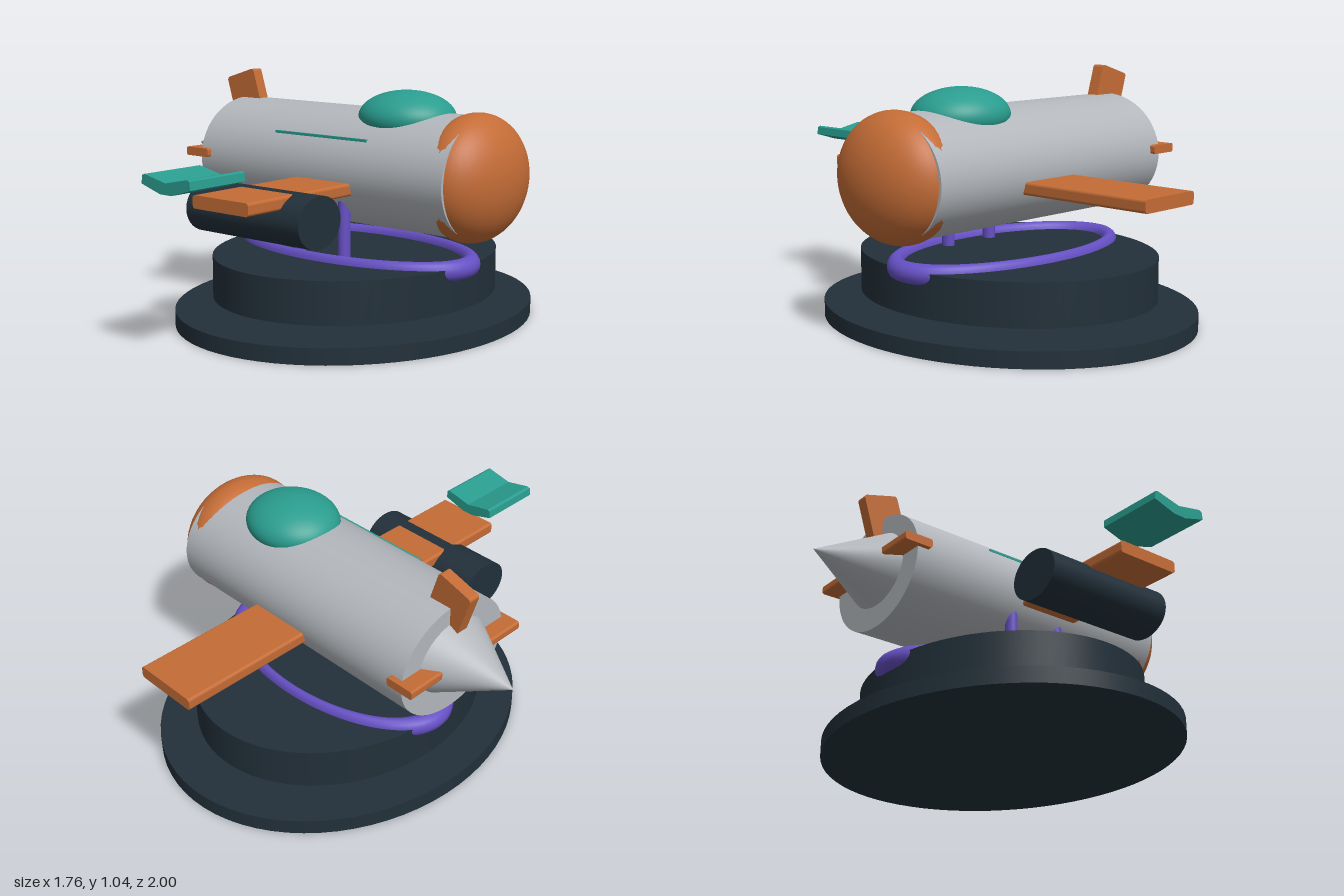
import * as THREE from 'three';

const CX = 0.085;   // centre of the stand in x
const CZ = -0.114;  // centre line of the craft in z
const STRETCH = 1.178; // everything round is wider in z

const mat = (name, color) => Object.assign(new THREE.MeshStandardMaterial({ color }), { name });

// Rounded rectangle centred on the origin
function roundedRect(w, h, r) {
  const s = new THREE.Shape(), x = w / 2 - r, y = h / 2 - r;
  s.absarc(x, y, r, 0, Math.PI / 2);
  s.absarc(-x, y, r, Math.PI / 2, Math.PI);
  s.absarc(-x, -y, r, Math.PI, Math.PI * 1.5);
  s.absarc(x, -y, r, Math.PI * 1.5, Math.PI * 2);
  s.closePath();
  return s;
}

// Extrusion along z, centred on z = 0
function slab(shape, depth) {
  return new THREE.ExtrudeGeometry(shape, { depth, bevelEnabled: false, curveSegments: 5 })
    .translate(0, 0, -depth / 2);
}

// Cylinder or cone along x; rNeg is the radius at the -x end
function barrel(rNeg, rPos, length) {
  return new THREE.CylinderGeometry(rNeg, rPos, length, 64)
    .rotateZ(Math.PI / 2).scale(1, 1, STRETCH);
}

const disc = (r, h) => new THREE.CylinderGeometry(r, r, h, 72).scale(1, 1, STRETCH);

export function createModel() {
  const dark = mat('darkSlate', 0x22303a);
  const grey = mat('silverGrey', 0xb3b7bc);
  const orange = mat('copperOrange', 0xc46c36);
  const teal = mat('teal', 0x2a9d8f);
  const purple = mat('purple', 0x6650c4);

  const model = new THREE.Group();
  model.name = 'craftOnStand';
  const add = (name, geometry, material, x, y, z) => {
    const mesh = new THREE.Mesh(geometry, material);
    mesh.name = name;
    mesh.position.set(x, y, z);
    model.add(mesh);
    return mesh;
  };

  // Stand
  add('basePlate', disc(0.721, 0.068), dark, CX, 0.034, CZ);
  add('drum', disc(0.573, 0.18), dark, CX, 0.2, CZ);
  add('standRing',
    new THREE.TorusGeometry(0.567, 0.043, 16, 80).rotateX(Math.PI / 2).scale(1, 1, 0.54),
    purple, CX, 0.279, CZ);

  // Landing struts and wheels
  for (const x of [-0.038, 0.208]) {
    add('strut', new THREE.CylinderGeometry(0.025, 0.025, 0.41, 20).scale(1, 1, STRETCH),
      purple, x, 0.355, 0.118);
    add('wheel', new THREE.TorusGeometry(0.05, 0.03, 14, 32).rotateY(Math.PI / 2).scale(1, 1, STRETCH),
      dark, x, 0.146, 0.118);
  }

  // Fuselage, nose and tail cone
  add('fuselage', barrel(0.25, 0.25, 1.31), grey, 0.085, 0.659, CZ);
  add('nose', new THREE.SphereGeometry(1, 48, 32).scale(0.18, 0.264, 0.289), orange, 0.699, 0.659, CZ);
  add('tailCone', barrel(0, 0.164, 0.315), grey, -0.7225, 0.67, CZ);

  // Canopy and side stripe
  add('canopy', new THREE.SphereGeometry(1, 48, 32).scale(0.212, 0.113, 0.193), teal, 0.355, 0.88, CZ);
  add('sideStripe', new THREE.BoxGeometry(0.498, 0.011, 0.009), teal, 0.084, 0.802, 0.129);

  // Wing and tail surfaces
  add('wing', slab(roundedRect(0.296, 0.053, 0.012), 1.772), orange, 0.136, 0.601, CZ);
  add('tailplane', slab(roundedRect(0.132, 0.038, 0.01), 0.631), orange, -0.578, 0.683, CZ);
  add('tailFin', slab(roundedRect(0.17, 0.3, 0.014), 0.053), orange, -0.542, 0.874, CZ)
    .rotation.z = 0.3;

  // Engine pod under the wing
  add('enginePod', barrel(0.106, 0.106, 0.61), dark, 0.085, 0.524, 0.486);

  // Shallow V-shaped plate beyond the wing tip
  const chevron = new THREE.Shape([
    [-0.115, 0.035], [0, 0.011], [0.115, 0.035], [0.127, 0.03], [0.131, -0.003],
    [0.03, -0.033], [-0.03, -0.033], [-0.131, -0.003], [-0.127, 0.03],
  ].map(([x, y]) => new THREE.Vector2(x, y)).reverse());
  add('tipPlate', slab(chevron, 0.287), teal, 0.085, 0.7, 0.8565);

  return model;
}
